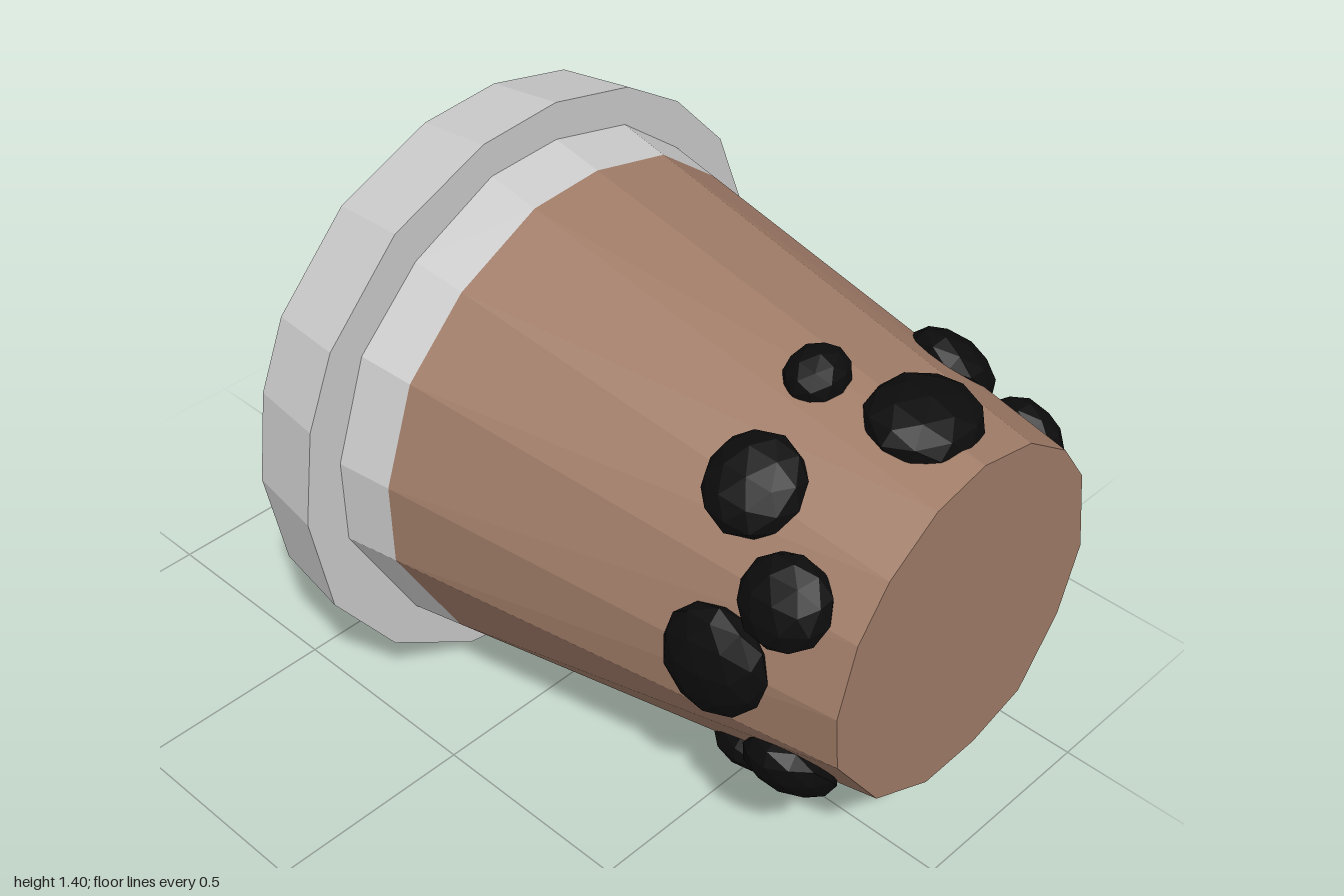
import * as THREE from 'three';

const material = (color) => new THREE.MeshStandardMaterial({ color, flatShading: true });

// Outlines [x, y], listed clockwise as seen from +z
const cupBase = [[0, 1.13], [0.15, 1.1], [0.28, 1.01], [0.36, 0.9], [0.4, 0.69], [0.35, 0.53], [0.24, 0.38],
  [0.09, 0.335], [-0.07, 0.33], [-0.24, 0.41], [-0.38, 0.6], [-0.395, 0.74], [-0.35, 0.9], [-0.27, 1.01], [-0.14, 1.1]];
const cupRim = [[0.06, 1.31], [0.27, 1.26], [0.44, 1.13], [0.54, 1.0], [0.61, 0.7], [0.54, 0.45], [0.37, 0.25],
  [0.11, 0.12], [-0.16, 0.125], [-0.41, 0.27], [-0.585, 0.58], [-0.59, 0.79], [-0.51, 1.03], [-0.35, 1.19], [-0.13, 1.3]];
const lidRim = [[0.06, 1.4], [0.28, 1.35], [0.44, 1.25], [0.59, 1.09], [0.69, 0.84], [0.69, 0.57], [0.59, 0.31],
  [0.39, 0.12], [0.21, 0.04], [0.01, 0], [-0.25, 0.05], [-0.48, 0.2], [-0.64, 0.42], [-0.69, 0.68], [-0.66, 0.91],
  [-0.59, 1.08], [-0.4, 1.28], [-0.15, 1.385]];

const BASE_Z = 1, RIM_Z = -0.21, TEA_Z = -0.08;
const ring = (outline, z) => outline.map(([x, y]) => new THREE.Vector3(x, y, z));
const baseRing = ring(cupBase, BASE_Z), rimRing = ring(cupRim, RIM_Z);
const cupRing = (z) => baseRing.map((p, i) => p.clone().lerp(rimRing[i], (BASE_Z - z) / (BASE_Z - RIM_Z)));

// Joins rings running from +z to -z, with optional end caps
function loft(rings, frontCap, backCap) {
  const pos = [];
  const tri = (...pts) => pts.forEach((p) => pos.push(p.x, p.y, p.z));
  const n = rings[0].length;
  const middle = (r) => r.reduce((s, p) => s.add(p), new THREE.Vector3()).divideScalar(n);
  const first = rings[0], last = rings[rings.length - 1];
  const c0 = middle(first), c1 = middle(last);
  for (let i = 0; i < n; i++) {
    const j = (i + 1) % n;
    for (let k = 0; k + 1 < rings.length; k++) {
      const a = rings[k], b = rings[k + 1];
      tri(a[i], a[j], b[i]);
      tri(a[j], b[j], b[i]);
    }
    if (frontCap) tri(c0, first[j], first[i]);
    if (backCap) tri(c1, last[i], last[j]);
  }
  const g = new THREE.BufferGeometry();
  g.setAttribute('position', new THREE.Float32BufferAttribute(pos, 3));
  g.computeVertexNormals();
  return g;
}

export function createModel() {
  const model = new THREE.Group();
  const grey = material(0xcccccc), brown = material(0xa07c68), pink = material(0xdaaed6), black = material(0x0c0c0c);
  const add = (name, geometry, mat, parent = model) => {
    const mesh = new THREE.Mesh(geometry, mat);
    mesh.name = name;
    parent.add(mesh);
    return mesh;
  };

  // Tea-filled cup lying on its side, with the clear band above the tea
  add('tea', loft([baseRing, cupRing(TEA_Z)], true, false), brown);
  add('cupBand', loft([cupRing(TEA_Z), rimRing], false, false), grey);

  // Tapered lid
  const lidTop = lidRim.map(([x, y]) => [x * 0.96, 0.705 + (y - 0.705) * 0.96]);
  add('lid', loft([ring(lidRim, RIM_Z), ring(lidTop, -0.4)], true, true), grey);

  // Narrow gaps in the tea where the cup shows: facet, span along the facet, tip depth
  const streakMat = material(0xcccccc);
  streakMat.side = THREE.DoubleSide;
  for (const [facet, u0, u1, tipU, tipZ] of [[4, 0.22, 0.42, 0.48, 0.36], [5, 0.05, 0.2, 0.08, 0.24]]) {
    const onFacet = (u, z) => {
      const r = cupRing(z);
      const p = r[facet].clone().lerp(r[facet + 1], u);
      p.x += 0.006;
      return p;
    };
    const g = new THREE.BufferGeometry().setFromPoints([onFacet(u0, TEA_Z), onFacet(u1, TEA_Z), onFacet(tipU, tipZ)]);
    g.computeVertexNormals();
    add('cupStreak', g, streakMat);
  }

  // Straw through the lid
  const start = new THREE.Vector3(0.165, 0.705, -0.36), end = new THREE.Vector3(0.395, 0.675, -0.96);
  const along = end.clone().sub(start);
  const straw = add('straw', new THREE.CylinderGeometry(0.115, 0.115, along.length(), 7), pink);
  straw.position.copy(start).add(end).multiplyScalar(0.5);
  straw.quaternion.setFromUnitVectors(new THREE.Vector3(0, 1, 0), along.normalize());

  // Pearls pressed against the wall: angle, z, half width around, half length along
  const pearls = [[88, 0.84, 0.13, 0.115], [97, 0.63, 0.075, 0.065], [43, 0.68, 0.115, 0.1], [28, 0.85, 0.09, 0.09],
    [-5, 0.79, 0.12, 0.1], [-42, 0.85, 0.11, 0.11], [-62, 0.67, 0.12, 0.11], [-96, 0.75, 0.12, 0.11],
    [-140, 0.84, 0.12, 0.1], [-121, 0.7, 0.12, 0.11], [177, 0.73, 0.13, 0.12], [152, 0.84, 0.1, 0.1],
    [130, 0.68, 0.11, 0.105]];
  const pearlGroup = new THREE.Group();
  pearlGroup.name = 'pearls';
  pearlGroup.position.y = 0.725;
  model.add(pearlGroup);
  const pearlGeometry = new THREE.IcosahedronGeometry(1, 1);
  for (const [angle, z, around, length] of pearls) {
    const arm = new THREE.Group();
    arm.rotation.z = THREE.MathUtils.degToRad(angle);
    pearlGroup.add(arm);
    const pearl = add('pearl', pearlGeometry, black, arm);
    pearl.position.set(0.395 + 0.17 * (BASE_Z - z), 0, z);
    pearl.rotation.y = -0.17;
    pearl.scale.set(0.06, around, length);
  }
  return model;
}
